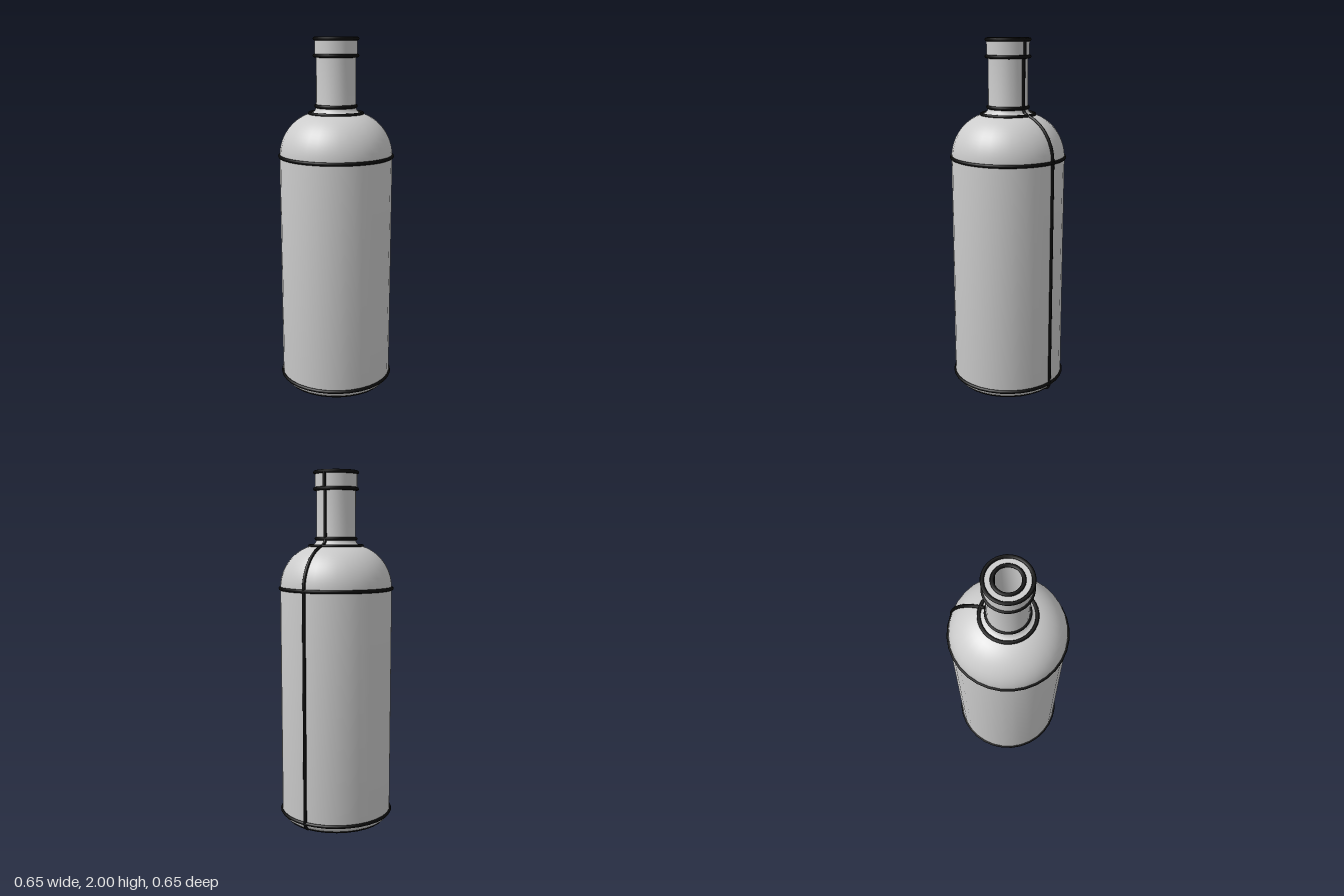
import * as THREE from 'three';
import { toCreasedNormals } from 'three/addons/utils/BufferGeometryUtils.js';

const SIDES = 32;
const LINE = 0.01; // radius of the dark edge piping

// Points [radius, height] along an elliptical arc, angles in degrees
function arc(cx, cy, rx, ry, from, to, steps) {
  const pts = [];
  for (let i = 0; i <= steps; i++) {
    const a = THREE.MathUtils.degToRad(from + ((to - from) * i) / steps);
    pts.push([cx + rx * Math.cos(a), cy + ry * Math.sin(a)]);
  }
  return pts;
}

// Outside wall from the base rim up to the lip
const outer = [
  ...arc(0.277, 0.05, 0.04, 0.04, -90, 0, 6),
  ...arc(0.08, 1.35, 0.237, 0.246, 0, 73.5, 14),
  ...arc(0.147, 1.627, 0.037, 0.04, 270, 180, 5),
  [0.11, 1.9], [0.118, 1.9], [0.118, 1.99],
];

// Inside wall from the mouth down to the floor
const inner = [
  [0.073, 1.99], [0.073, 1.61],
  ...arc(0.08, 1.35, 0.197, 0.206, 85, 0, 14),
  ...arc(0.247, 0.08, 0.03, 0.03, 0, -90, 5),
];

export function createModel() {
  const model = new THREE.Group();
  model.name = 'bottle';
  const glass = new THREE.MeshStandardMaterial({ color: 0xcccccc });
  const black = new THREE.MeshStandardMaterial({ color: 0x0a0a0a });

  function add(name, geometry, material, parent = model) {
    const mesh = new THREE.Mesh(geometry, material);
    mesh.name = name;
    parent.add(mesh);
    return mesh;
  }

  // Hollow body, closed by a flat base below and a floor inside
  const profile = [[0, 0.01], ...outer, ...inner, [0, 0.05]]
    .map(([r, y]) => new THREE.Vector2(r, y));
  add('bottleBody', toCreasedNormals(new THREE.LatheGeometry(profile, SIDES), 0.6), glass);

  // Piping around every edge of the walls: [name, radius, height]
  const rings = new THREE.Group();
  rings.name = 'edgeRings';
  model.add(rings);
  [
    ['baseRing', 0.28, 0.01],
    ['lowerBodyRing', 0.317, 0.05],
    ['shoulderRing', 0.317, 1.35],
    ['shoulderTopRing', 0.147, 1.587],
    ['neckRing', 0.111, 1.627],
    ['lipUnderRing', 0.11, 1.9],
    ['lipLowerRing', 0.118, 1.9],
    ['lipUpperRing', 0.118, 1.99],
    ['mouthRing', 0.073, 1.99],
    ['innerNeckRing', 0.073, 1.61],
    ['innerShoulderRing', 0.277, 1.35],
    ['innerLowerRing', 0.277, 0.08],
  ].forEach(([name, r, y]) => {
    const ring = add(name, new THREE.TorusGeometry(r, LINE, 8, SIDES), black, rings);
    ring.rotation.x = Math.PI / 2;
    ring.position.y = y;
  });

  // Seams running up the back of the outside and inside walls
  function seam(name, points) {
    const path = new THREE.CurvePath();
    const p = points.map(([r, y]) => new THREE.Vector3(0, y, -r));
    for (let i = 1; i < p.length; i++) {
      if (p[i].distanceTo(p[i - 1]) > 1e-4) path.add(new THREE.LineCurve3(p[i - 1], p[i]));
    }
    add(name, new THREE.TubeGeometry(path, 260, LINE, 8), black);
  }
  seam('outerSeam', outer);
  seam('innerSeam', inner);

  return model;
}
